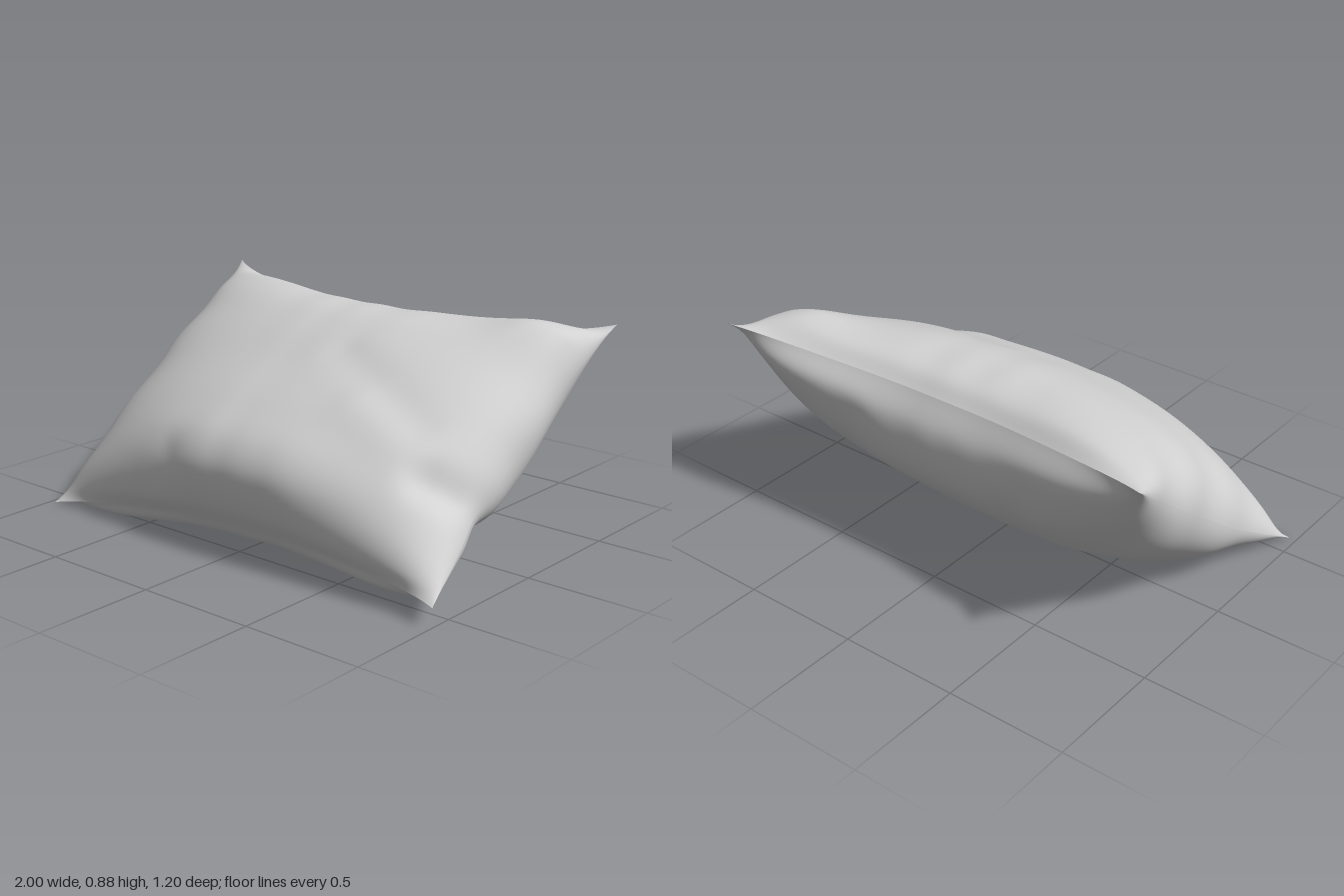
import * as THREE from 'three';

// Profiles in the (z, y) plane, running from the bottom seam to the top seam
const profile = (pts) =>
  new THREE.CatmullRomCurve3(pts.map(([z, y]) => new THREE.Vector3(0, y, z)), false, 'centripetal');

const sideSeam = profile([[0.597, 0.042], [0.4, 0.15], [0.2, 0.272], [0, 0.415], [-0.2, 0.562], [-0.4, 0.71], [-0.597, 0.857]]);
const frontMiddle = profile([[0.53, 0.12], [0.575, 0.19], [0.598, 0.29], [0.592, 0.38], [0.54, 0.47], [0.4, 0.575],
  [0.2, 0.69], [0, 0.8], [-0.14, 0.85], [-0.28, 0.852], [-0.37, 0.827], [-0.43, 0.775]]);
const backMiddle = profile([[0.53, 0.12], [0.49, 0.065], [0.38, 0.035], [0.2, 0.02], [0, 0.04], [-0.1, 0.085],
  [-0.2, 0.15], [-0.3, 0.245], [-0.4, 0.34], [-0.465, 0.43], [-0.495, 0.54], [-0.49, 0.66], [-0.43, 0.775]]);
// Profiles close to the corners, where the ears are pinched
const frontEnd = profile([[0.555, 0.08], [0.585, 0.15], [0.575, 0.25], [0.515, 0.365], [0.38, 0.5], [0.2, 0.635],
  [0, 0.755], [-0.2, 0.835], [-0.33, 0.862], [-0.43, 0.86], [-0.505, 0.81]]);
const backEnd = profile([[0.555, 0.08], [0.545, 0.03], [0.42, 0.012], [0.2, 0.022], [0, 0.075], [-0.2, 0.185],
  [-0.35, 0.32], [-0.47, 0.46], [-0.54, 0.6], [-0.562, 0.72], [-0.505, 0.81]]);

// Folds and puffs: line from (u0, v0) to (u1, v1), width, height
const frontFolds = [
  [0.2, 0.62, 0.72, 0.43, 0.08, -0.01],
  [0.45, 0.44, 0.75, 0.34, 0.11, 0.012],
  [0.82, 0.9, 0.9, 0.88, 0.17, 0.045],
  [-0.45, 0.08, -0.35, 0.18, 0.07, -0.012],
  [0.87, 0.3, 0.97, 0.3, 0.07, -0.035],
];
const backFolds = [
  [0.87, 0.32, 0.97, 0.3, 0.08, -0.035],
  [-0.85, 0.4, -0.65, 0.45, 0.12, -0.012],
  [-0.45, 0.85, -0.35, 0.75, 0.1, -0.012],
  [0.42, 0.88, 0.5, 0.75, 0.1, -0.012],
];

function foldHeight(folds, u, v) {
  let h = 0;
  for (const [u0, v0, u1, v1, width, height] of folds) {
    const du = u1 - u0, dv = v1 - v0;
    const t = THREE.MathUtils.clamp(((u - u0) * du + (v - v0) * dv) / (du * du + dv * dv), 0, 1);
    const d2 = (u - u0 - t * du) ** 2 + (1.4 * (v - v0 - t * dv)) ** 2;
    h += height * Math.exp(-d2 / (width * width));
  }
  return h;
}

// One fabric panel, blended from the side seams through the end profile to the middle profile
function panelGeometry(middle, end, folds, sign) {
  const nu = 110, nv = 80, positions = [], index = [];
  for (let j = 0; j <= nv; j++) {
    const s = j / nv;
    const v = THREE.MathUtils.lerp(s, 0.5 - 0.5 * Math.cos(Math.PI * s), 0.7);
    const seam = sideSeam.getPointAt(v), mid = middle.getPointAt(v), near = end.getPointAt(v);
    const k = 2 * v - 1;
    for (let i = 0; i <= nu; i++) {
      const u = i === 0 ? -1 : i === nu ? 1 : Math.sin((i / nu - 0.5) * Math.PI);
      const a = Math.abs(u);
      // Rounded over the sides, tapering evenly into the corners
      const round = Math.sqrt(Math.max(0, 1 - a ** 4.5));
      const full = THREE.MathUtils.lerp(round, 1 - a ** 6, Math.abs(k) ** 8);
      const body = mid.clone().lerp(near, THREE.MathUtils.smoothstep(a, 0.1, 0.9));
      const p = seam.clone().lerp(body, full);
      // Sides draw in between the corners, with a tuck on one side
      let width = 0.92 + 0.067 * Math.abs(k) ** 2.5 + 0.005 * Math.sin(v * 23) * (1 - k * k);
      if (u > 0) width -= 0.03 * Math.exp(-(((v - 0.31) / 0.08) ** 2));
      p.x = u * width - 0.013 * k;
      p.y += 0.036 * u * (1 - v);
      // Folds and gathered ripples fade out at the seams
      const mask = Math.min(1, 2.2 * full) * Math.min(1, 9 * v * (1 - v));
      const ripple = 0.006 * Math.sin(u * 19 + 2 * Math.sin(u * 5)) * Math.exp(-7 * Math.min(v, 1 - v))
        + 0.005 * Math.sin(v * 26 + u) * Math.exp(-7 * (1 - a));
      const h = sign * mask * (foldHeight(folds, u, v) + ripple);
      p.y += 0.84 * h;
      p.z += 0.55 * h;
      positions.push(p.x, Math.max(0, p.y), p.z);
    }
  }
  for (let j = 0; j < nv; j++) {
    for (let i = 0; i < nu; i++) {
      const a = j * (nu + 1) + i, b = a + 1, c = b + nu + 1, d = a + nu + 1;
      if (sign > 0) index.push(a, b, c, a, c, d);
      else index.push(a, c, b, a, d, c);
    }
  }
  const geometry = new THREE.BufferGeometry();
  geometry.setAttribute('position', new THREE.Float32BufferAttribute(positions, 3));
  geometry.setIndex(index);
  geometry.computeVertexNormals();
  return geometry;
}

export function createModel() {
  const group = new THREE.Group();
  group.name = 'pillow';
  const fabric = new THREE.MeshStandardMaterial({ color: 0xd2d2d2 });
  fabric.name = 'light grey fabric';

  // Front and back panels meet along a sharp seam
  const panels = [
    ['frontPanel', frontMiddle, frontEnd, frontFolds, 1],
    ['backPanel', backMiddle, backEnd, backFolds, -1],
  ];
  for (const [name, middle, end, folds, sign] of panels) {
    const mesh = new THREE.Mesh(panelGeometry(middle, end, folds, sign), fabric);
    mesh.name = name;
    group.add(mesh);
  }
  return group;
}
